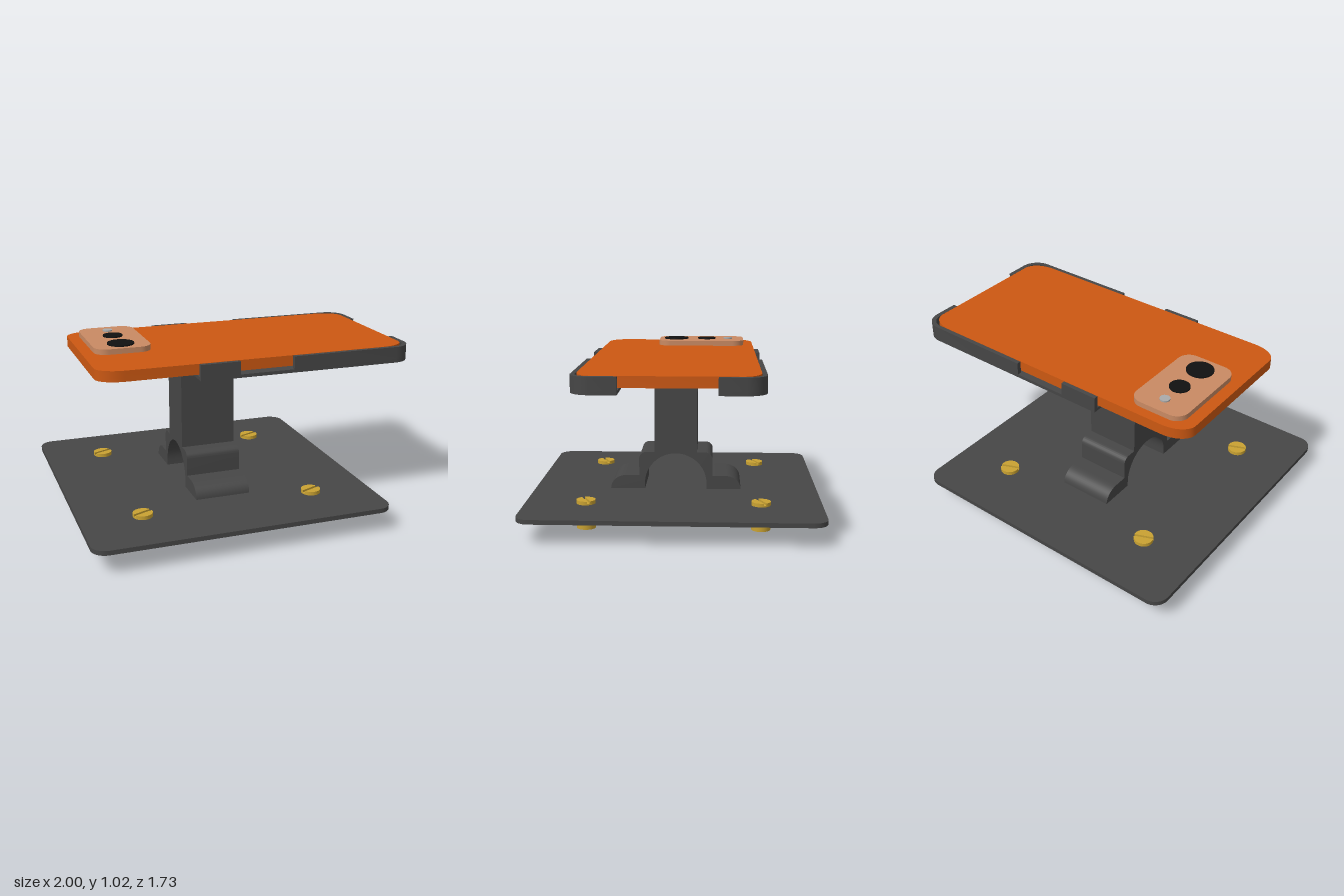
import * as THREE from 'three';
import { toCreasedNormals } from 'three/addons/utils/BufferGeometryUtils.js';

const paint = (color) => new THREE.MeshStandardMaterial({ color });
const dark = paint(0x464646);
const orange = paint(0xcc5812);
const copper = paint(0xc98a63);
const black = paint(0x111111);
const silver = paint(0xaaaaaa);
const brass = paint(0xc9a232);

// Rounded corner from the shape's current point, around (cx, cy), to (ex, ey)
function corner(s, cx, cy, ex, ey) {
  const k = 0.552, p = s.currentPoint;
  s.bezierCurveTo(p.x + (cx - p.x) * k, p.y + (cy - p.y) * k,
    ex + (cx - ex) * k, ey + (cy - ey) * k, ex, ey);
}

function roundedRect(x0, x1, z0, z1, rx, rz = rx) {
  const s = new THREE.Shape();
  s.moveTo(x0 + rx, z0);
  s.lineTo(x1 - rx, z0);
  corner(s, x1, z0, x1, z0 + rz);
  s.lineTo(x1, z1 - rz);
  corner(s, x1, z1, x1 - rx, z1);
  s.lineTo(x0 + rx, z1);
  corner(s, x0, z1, x0, z1 - rz);
  s.lineTo(x0, z0 + rz);
  corner(s, x0, z0, x0 + rx, z0);
  return s;
}

function extrude(shape, depth) {
  return new THREE.ExtrudeGeometry(shape, { depth, bevelEnabled: false, curveSegments: 12 });
}

function add(parent, name, geometry, material) {
  const mesh = new THREE.Mesh(toCreasedNormals(geometry, 0.5), material);
  mesh.name = name;
  parent.add(mesh);
  return mesh;
}

// Horizontal slab from an outline in (x, z)
function slab(parent, name, shape, y0, y1, material) {
  const g = extrude(shape, y1 - y0).rotateX(Math.PI / 2).translate(0, y1, 0);
  return add(parent, name, g, material);
}

function disc(parent, name, r, x, z, y0, y1, material) {
  const g = new THREE.CylinderGeometry(r, r, y1 - y0, 32).translate(x, (y0 + y1) / 2, z);
  return add(parent, name, g, material);
}

// Post standing on a stepped, arched foot; outline in (z, y), extruded along x
function buildPost(parent) {
  const s = new THREE.Shape();
  s.moveTo(0.4, 0.147);
  corner(s, 0.4, 0.23, 0.305, 0.23);
  s.lineTo(0.225, 0.23);
  s.lineTo(0.225, 0.335);
  corner(s, 0.225, 0.376, 0.185, 0.376);
  s.lineTo(0.13, 0.376);
  s.lineTo(0.13, 0.886);
  s.lineTo(-0.13, 0.886);
  s.lineTo(-0.13, 0.376);
  s.lineTo(-0.185, 0.376);
  corner(s, -0.225, 0.376, -0.225, 0.335);
  s.lineTo(-0.225, 0.23);
  s.lineTo(-0.305, 0.23);
  corner(s, -0.4, 0.23, -0.4, 0.147);
  s.lineTo(-0.19, 0.147);
  s.lineTo(-0.19, 0.18);
  s.absarc(0, 0.18, 0.19, Math.PI, 0, true);
  s.lineTo(0.19, 0.147);
  s.closePath();
  add(parent, 'post', extrude(s, 0.325).rotateY(-Math.PI / 2).translate(0.025, 0, 0), dark);
}

// Tray with side walls, hooked end walls and a notch at the open end
function buildCradle(parent) {
  const cradle = new THREE.Group();
  cradle.name = 'cradle';
  const f = new THREE.Shape();
  f.moveTo(-0.3, -0.505);
  f.lineTo(0.89, -0.505);
  corner(f, 1, -0.505, 1, -0.395);
  f.lineTo(1, -0.255);
  f.lineTo(0.51, -0.255);
  f.lineTo(0.51, 0.255);
  f.lineTo(1, 0.255);
  f.lineTo(1, 0.395);
  corner(f, 1, 0.505, 0.89, 0.505);
  f.lineTo(-0.3, 0.505);
  f.closePath();
  slab(cradle, 'cradleFloor', f, 0.885, 0.904, dark);

  for (const m of [1, -1]) {
    const w = new THREE.Shape();
    w.moveTo(0.25, 0.505 * m);
    w.lineTo(0.89, 0.505 * m);
    corner(w, 1, 0.505 * m, 1, 0.395 * m);
    w.lineTo(1, 0.255 * m);
    w.lineTo(0.972, 0.255 * m);
    w.lineTo(0.972, 0.395 * m);
    corner(w, 0.972, 0.48 * m, 0.89, 0.48 * m);
    w.lineTo(0.25, 0.48 * m);
    w.closePath();
    slab(cradle, 'cornerWall', w, 0.904, 0.978, dark);

    const clip = new THREE.BoxGeometry(0.23, 0.074, 0.025).translate(-0.185, 0.941, 0.4925 * m);
    add(cradle, 'sideClip', clip, dark);
  }
  parent.add(cradle);
}

// Phone lying face down, with its camera plate and lenses on top
function buildPhone(parent) {
  const phone = new THREE.Group();
  phone.name = 'phone';
  slab(phone, 'phoneBody', roundedRect(-0.86, 0.97, -0.479, 0.479, 0.15, 0.1), 0.918, 0.979, orange);
  slab(phone, 'cameraPlate', roundedRect(-0.792, -0.46, -0.42, 0.13, 0.075), 0.979, 1.01, copper);
  disc(phone, 'largeLens', 0.078, -0.625, 0.02, 1.01, 1.018, black);
  disc(phone, 'smallLens', 0.058, -0.625, -0.18, 1.01, 1.018, black);
  disc(phone, 'flash', 0.029, -0.625, -0.32, 1.01, 1.018, silver);
  parent.add(phone);
}

// Slotted screw: a shank and two raised head halves
function buildScrew(parent, x, z) {
  const screw = new THREE.Group();
  screw.name = 'screw';
  disc(screw, 'shank', 0.056, 0, 0, 0, 0.156, brass);
  const r = 0.056, a = Math.asin(0.009 / r);
  for (const turn of [0, Math.PI]) {
    const half = new THREE.Shape();
    half.absarc(0, 0, r, turn + a, turn + Math.PI - a, false);
    half.closePath();
    slab(screw, 'headHalf', half, 0.156, 0.169, brass);
  }
  screw.rotation.y = 0.4;
  screw.position.set(x, 0, z);
  parent.add(screw);
}

export function createModel() {
  const model = new THREE.Group();
  model.name = 'phoneStand';
  slab(model, 'basePlate', roundedRect(-1, 0.726, -0.865, 0.865, 0.085), 0.121, 0.147, dark);
  buildPost(model);
  buildCradle(model);
  buildPhone(model);
  for (const x of [-0.647, 0.369]) for (const z of [-0.509, 0.509]) buildScrew(model, x, z);
  return model;
}
